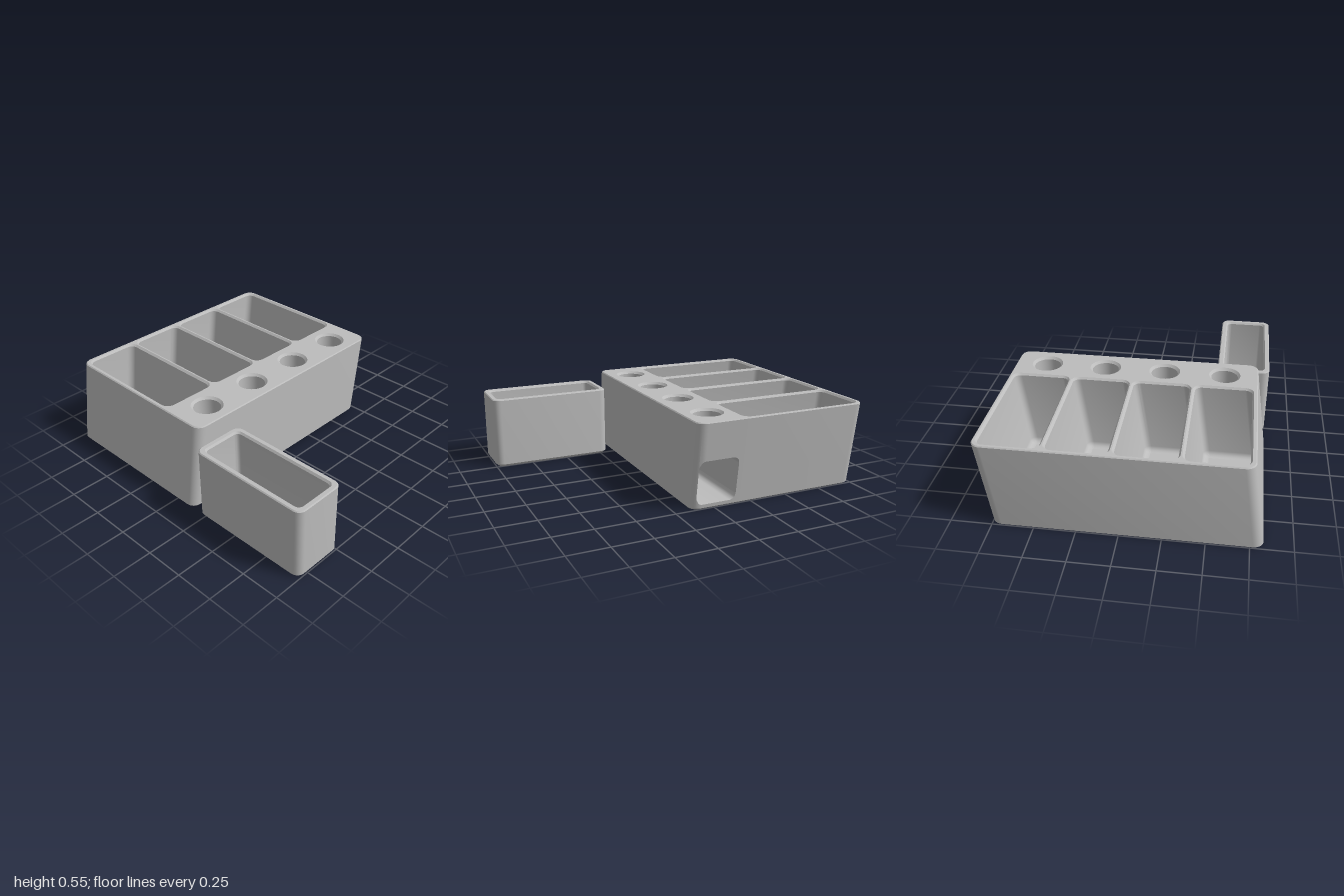
import * as THREE from 'three';
import { toCreasedNormals } from 'three/addons/utils/BufferGeometryUtils.js';

const H = 0.55;                                  // block height
const shear = y => 0.04 - 0.08 * y / H;          // the block leans backwards
const upright = () => 0;

// Rounded rectangle in plan as [x, z] points; backXs adds points on the back edge.
function ring(cx, cz, hx, hz, r, backXs = []) {
  const pts = [];
  [[1, 1], [-1, 1], [-1, -1], [1, -1]].forEach(([sx, sz], k) => {
    if (k === 3) backXs.forEach(x => pts.push([x, cz - hz]));
    for (let i = 0; i <= 6; i++) {
      const a = (k + i / 6) * Math.PI / 2;
      pts.push([cx + sx * (hx - r) + r * Math.cos(a), cz + sz * (hz - r) + r * Math.sin(a)]);
    }
  });
  return pts;
}

function circle(cx, cz, r, n = 40) {
  return Array.from({ length: n }, (_, i) => {
    const a = i / n * Math.PI * 2;
    return [cx + r * Math.cos(a), cz + r * Math.sin(a)];
  });
}

function quadGeometry(quads) {
  const pos = quads.flatMap(([a, b, c, d]) => [...a, ...b, ...c, ...a, ...c, ...d]);
  const g = new THREE.BufferGeometry();
  g.setAttribute('position', new THREE.Float32BufferAttribute(pos, 3));
  return toCreasedNormals(g, 0.5);
}

// Skin through plan rings, each given as [y, points].
function loft(levels, shift = upright) {
  const quads = [];
  for (let l = 0; l < levels.length - 1; l++) {
    const [y0, p] = levels[l], [y1, q] = levels[l + 1];
    p.forEach((_, i) => {
      const j = (i + 1) % p.length;
      quads.push([
        [p[i][0], y0, p[i][1] + shift(y0)], [q[i][0], y1, q[i][1] + shift(y1)],
        [q[j][0], y1, q[j][1] + shift(y1)], [p[j][0], y0, p[j][1] + shift(y0)]]);
    });
  }
  return quadGeometry(quads);
}

// Flat horizontal face with holes, facing up or down.
function plate(outline, holes, y, up = true) {
  const s = up ? -1 : 1;
  const vec = pts => pts.map(([x, z]) => new THREE.Vector2(x, s * z));
  const shape = new THREE.Shape(vec(outline));
  shape.holes = holes.map(h => new THREE.Path(vec(h)));
  return new THREE.ShapeGeometry(shape).rotateX(s * Math.PI / 2).translate(0, y, 0);
}

const moved = (pts, dz) => pts.map(([x, z]) => [x, z + dz]);

export function createModel() {
  const model = new THREE.Group();
  const grey = new THREE.MeshStandardMaterial({ color: 0xbcbcbc, side: THREE.DoubleSide });
  grey.name = 'light grey';

  function add(parent, name, geometry) {
    const m = new THREE.Mesh(geometry, grey);
    m.name = name;
    parent.add(m);
  }

  const block = new THREE.Group();
  block.name = 'dispenserBlock';
  model.add(block);

  // Chute opening in the back wall: a rounded rectangle seen along z
  const chute = { x0: -0.14, x1: 0.12, y0: 0.03, y1: 0.31, r: 0.04, end: 0.69 };
  const cornerRise = x => {
    const d = Math.max(0, Math.min(x - chute.x0, chute.x1 - x));
    return d >= chute.r ? 0 : chute.r - Math.sqrt(chute.r ** 2 - (chute.r - d) ** 2);
  };
  const low = x => chute.y0 + cornerRise(x), high = x => chute.y1 - cornerRise(x);
  const backXs = [-0.14, -0.135, -0.1255, -0.11, -0.1, 0.08];
  const outer = inset => ring(-0.425, 0, 0.575 - inset, 0.79 - inset, 0.06 - inset, backXs);

  // Outer wall with the opening, and the chute behind it
  const wall = [], tunnel = [], endWall = [];
  const yBottom = 0.008, yTop = H - 0.006;
  const pts = outer(0);
  const at = (p, y) => [p[0], y, p[1] + shear(y)];
  const inside = (p, y) => [p[0], y, chute.end];
  const e = 1e-4;
  const inOpening = p => p[1] < -0.6 && p[0] > chute.x0 - e && p[0] < chute.x1 + e;
  pts.forEach((p, i) => {
    const q = pts[(i + 1) % pts.length];
    const strip = (pa, pb, qa, qb) => wall.push([at(p, pa), at(p, pb), at(q, qb), at(q, qa)]);
    if (!inOpening(p) || !inOpening(q)) return strip(yBottom, yTop, yBottom, yTop);
    const [pl, ph, ql, qh] = [low(p[0]), high(p[0]), low(q[0]), high(q[0])];
    strip(yBottom, pl, yBottom, ql);
    strip(ph, yTop, qh, yTop);
    tunnel.push([at(p, pl), inside(p, pl), inside(q, ql), at(q, ql)]);
    if (ph < chute.y1 - e || qh < chute.y1 - e)
      tunnel.push([at(p, ph), at(q, qh), inside(q, qh), inside(p, ph)]);
    endWall.push([inside(p, pl), inside(p, ph), inside(q, qh), inside(q, ql)].reverse());
  });
  // Chute side walls
  pts.filter(p => inOpening(p) && (Math.abs(p[0] - chute.x0) < e || Math.abs(p[0] - chute.x1) < e))
    .forEach(p => {
      const [l, h] = [low(p[0]), high(p[0])];
      const face = [at(p, l), at(p, h), inside(p, h), inside(p, l)];
      tunnel.push(p[0] < 0 ? face.reverse() : face);
    });
  add(block, 'outerWall', quadGeometry(wall));
  add(block, 'chute', quadGeometry(tunnel));
  add(block, 'chuteEnd', quadGeometry(endWall));
  add(block, 'bottomBevel', loft([[0, outer(0.008)], [yBottom, outer(0)]], shear));
  add(block, 'topBevel', loft([[yTop, outer(0)], [H, outer(0.006)]], shear));

  // Four leaning pockets, each with a drain hole below and a round port beside it
  const topHoles = [], bottomHoles = [], ceilingHoles = [];
  const floorY = 0.03, fillet = 0.035;
  for (let i = 0; i < 4; i++) {
    const z = -0.624 + 0.387 * i;
    const rect = inset => ring(-0.568, z + 0.04, 0.411 - inset, 0.189 - inset, 0.055 - inset);
    const levels = [[H, rect(0)], [H - 0.012, rect(0.012)]];
    for (let k = 0; k <= 4; k++) {
      const a = k / 4 * Math.PI / 2;
      levels.push([floorY + fillet * (1 - Math.sin(a)), rect(0.012 + fillet * (1 - Math.cos(a)))]);
    }
    add(block, 'pocketWall', loft(levels, shear));
    const drainZ = z + 0.072;
    const drain = r => circle(-0.57, drainZ, r);
    add(block, 'pocketFloor', plate(moved(levels.at(-1)[1], shear(floorY)), [drain(0.12)], floorY));
    add(block, 'drainHole', loft([[floorY, drain(0.12)], [0.018, drain(0.12)], [0, drain(0.138)]]));

    const port = r => circle(-0.01, z, r);
    add(block, 'port', loft([[H, port(0.1)], [H - 0.015, port(0.085)], [chute.y1, port(0.085)]]));
    topHoles.push(moved(rect(0), shear(H)), port(0.1));
    bottomHoles.push(drain(0.138));
    ceilingHoles.push(port(0.085));
  }
  add(block, 'topFace', plate(moved(outer(0.006), shear(H)), topHoles, H));
  add(block, 'bottomFace', plate(moved(outer(0.008), shear(0)), bottomHoles, 0, false));
  const backZ = -0.79 + shear(chute.y1);
  add(block, 'chuteCeiling', plate(
    [[-0.1, backZ], [0.08, backZ], [0.08, chute.end], [-0.1, chute.end]], ceilingHoles, chute.y1, false));

  // Separate open bin
  const bin = new THREE.Group();
  bin.name = 'bin';
  model.add(bin);
  const binRing = inset => ring(0.6, 0.6575, 0.4 - inset, 0.1725 - inset, Math.max(0.02, 0.05 - inset * 0.5));
  const binLevels = [[0, 0.016], [0.016, 0], [0.464, 0], [0.47, 0.006], [0.47, 0.03], [0.458, 0.04],
    [0.06, 0.04], [0.045, 0.044], [0.034, 0.054], [0.03, 0.068]].map(([y, inset]) => [y, binRing(inset)]);
  add(bin, 'binWall', loft(binLevels));
  add(bin, 'binFloor', plate(binRing(0.068), [], 0.03));
  add(bin, 'binBottom', plate(binRing(0.016), [], 0, false));

  return model;
}
